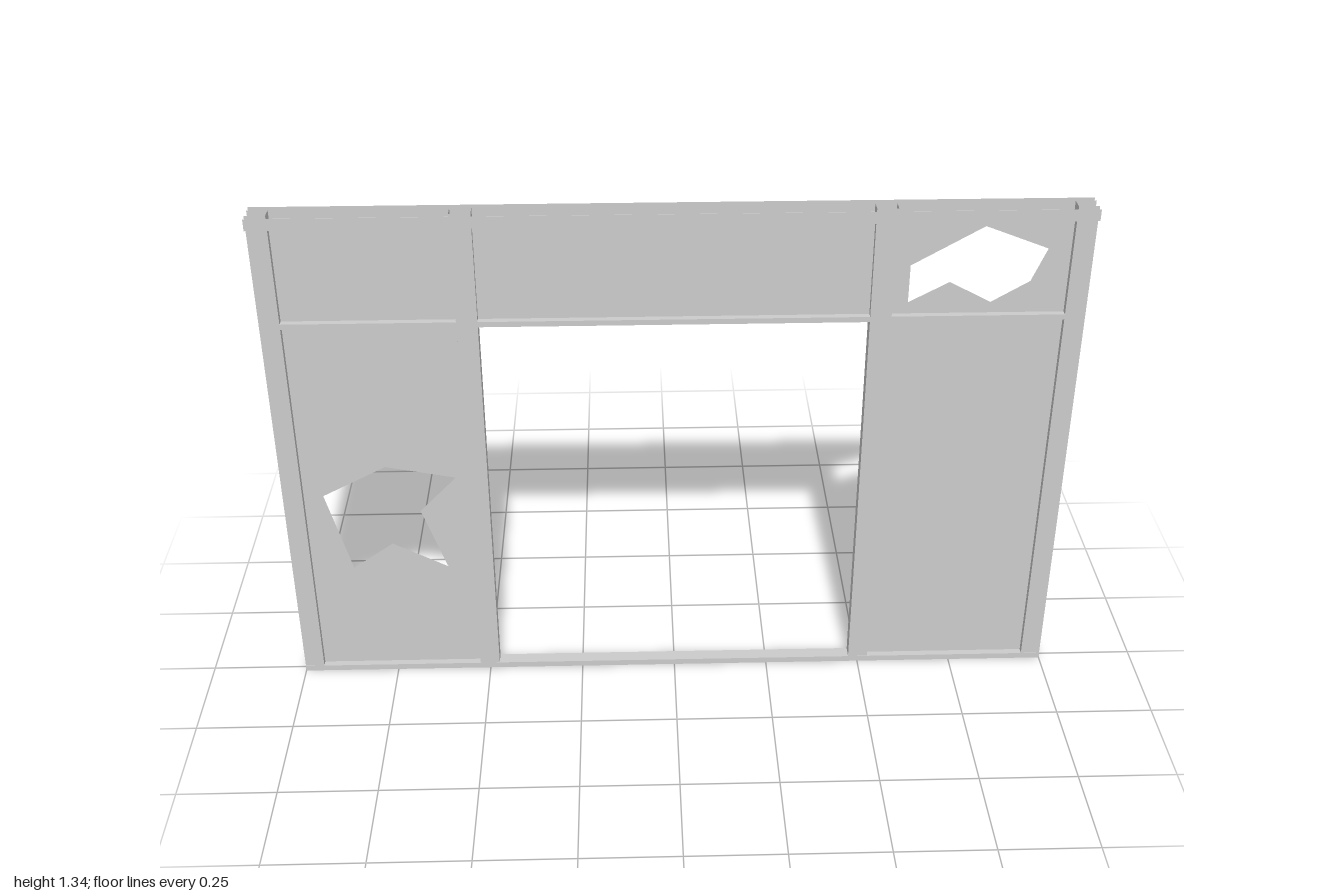
import * as THREE from 'three';

const material = new THREE.MeshStandardMaterial({ color: 0xcccccc, side: THREE.DoubleSide, flatShading: true });

const TOP = 1.335, SILL = 0.016;
const TRANSOM = [1.038, 1.052];
const HALF = 0.017; // half depth of posts and transoms
const INNER = 0.475, MID = 0.527, OUTER = 0.95, END = 1;

export function createModel() {
  const root = new THREE.Group();

  const group = (name) => {
    const g = new THREE.Group();
    g.name = name;
    root.add(g);
    return g;
  };

  // Thin sheet between two corners; one of the three extents is zero
  function sheet(parent, name, [x0, y0, z0], [x1, y1, z1]) {
    const dx = x1 - x0, dy = y1 - y0, dz = z1 - z0;
    let geo;
    if (dz === 0) geo = new THREE.PlaneGeometry(dx, dy);
    else if (dx === 0) geo = new THREE.PlaneGeometry(dz, dy).rotateY(Math.PI / 2);
    else geo = new THREE.PlaneGeometry(dx, dz).rotateX(-Math.PI / 2);
    geo.translate((x0 + x1) / 2, (y0 + y1) / 2, (z0 + z1) / 2);
    const mesh = new THREE.Mesh(geo, material);
    mesh.name = name;
    parent.add(mesh);
  }

  // Upright sheet-metal post: full-height faces, side webs notched at the transom
  function post(name, x0, x1, webs) {
    const g = group(name);
    for (const z of [-HALF, HALF]) sheet(g, 'postFace', [x0, SILL, z], [x1, TOP, z]);
    for (const x of webs) {
      sheet(g, 'lowerWeb', [x, SILL, -HALF], [x, TRANSOM[0], HALF]);
      sheet(g, 'upperWeb', [x, TRANSOM[1], -HALF], [x, TOP, HALF]);
    }
  }
  post('leftInnerPost', INNER, MID, [INNER, MID]);
  post('rightInnerPost', -MID, -INNER, [-MID, -INNER]);
  // End posts are channels open to the outside
  post('leftEndPost', OUTER, END, [OUTER]);
  post('rightEndPost', -END, -OUTER, [-OUTER]);

  // Channel rail: one web and two side walls
  function rail(name, webY, y0, y1, half) {
    const g = group(name);
    sheet(g, 'railWeb', [-END, webY, -half], [END, webY, half]);
    for (const z of [-half, half]) sheet(g, 'railWall', [-END, y0, z], [END, y1, z]);
  }
  rail('topRail', 1.305, 1.305, TOP, 0.035);
  rail('bottomRail', SILL, 0, SILL, 0.018);

  // Bays between the posts: transom bar and infill panels
  const bays = [
    ['right', -OUTER, -MID],
    ['middle', -INNER, INNER],
    ['left', MID, OUTER],
  ];

  // Jagged breaks in two of the panels
  const lowerHole = [[-0.9, 0.55], [-0.735, 0.635], [-0.558, 0.6], [-0.655, 0.5],
    [-0.595, 0.325], [-0.735, 0.4], [-0.842, 0.325]];
  const upperHole = [[0.567, 1.18], [0.74, 1.28], [0.895, 1.22], [0.86, 1.135],
    [0.768, 1.08], [0.665, 1.135], [0.567, 1.082]];

  function panel(name, x0, x1, y0, y1, hole) {
    const shape = new THREE.Shape([[x0, y0], [x1, y0], [x1, y1], [x0, y1]].map((p) => new THREE.Vector2(...p)));
    if (hole) shape.holes.push(new THREE.Path(hole.map((p) => new THREE.Vector2(...p))));
    const mesh = new THREE.Mesh(new THREE.ShapeGeometry(shape), material);
    mesh.name = name;
    root.add(mesh);
  }

  for (const [side, x0, x1] of bays) {
    const g = group(side + 'Transom');
    for (const y of TRANSOM) sheet(g, 'transomFlat', [x0, y, -HALF], [x1, y, HALF]);
    for (const z of [-HALF, HALF]) sheet(g, 'transomFace', [x0, TRANSOM[0], z], [x1, TRANSOM[1], z]);

    panel(side + 'UpperPanel', x0, x1, TRANSOM[1], 1.305, side === 'left' ? upperHole : null);
    // The middle bay is an open doorway below the transom
    if (side !== 'middle') panel(side + 'LowerPanel', x0, x1, SILL, TRANSOM[0], side === 'right' ? lowerHole : null);
  }

  return root;
}
